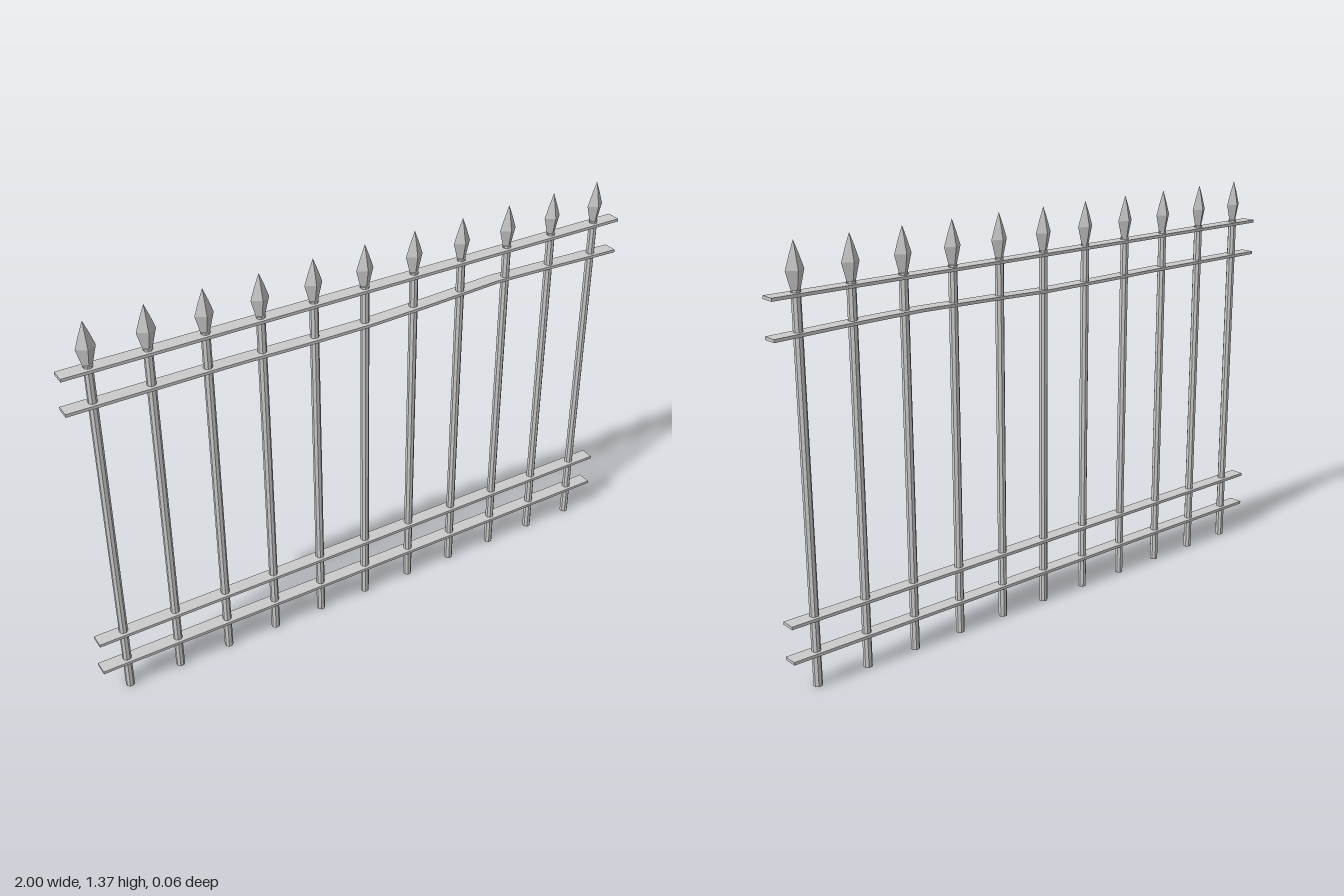
import * as THREE from 'three';

const metal = new THREE.MeshStandardMaterial({ color: 0xcccccc, flatShading: true });

// Piecewise-linear lookup in a short list of [x, value] pairs
function sample(pairs, x) {
  for (let i = 1; i < pairs.length; i++) {
    const [x0, v0] = pairs[i - 1], [x1, v1] = pairs[i];
    if (x <= x1) return v0 + (v1 - v0) * (x - x0) / (x1 - x0);
  }
  return pairs[pairs.length - 1][1];
}

export function createModel() {
  const fence = new THREE.Group();
  fence.name = 'fence';
  const add = (geometry, name, x, y) => {
    const mesh = new THREE.Mesh(geometry, metal);
    mesh.name = name;
    mesh.position.set(x, y, 0);
    fence.add(mesh);
  };

  // Upright bars, each topped by a four-sided, flattened spearhead
  const postHeight = 1.226;
  const post = new THREE.CylinderGeometry(0.0145, 0.0145, postHeight, 8);
  post.rotateY(Math.PI / 8);
  const profile = [[0, 1.215], [0.013, 1.215], [0.031, 1.282], [0.017, 1.323], [0, 1.366]];
  const spear = new THREE.LatheGeometry(profile.map(([r, y]) => new THREE.Vector2(r, y)), 4);
  spear.scale(1, 1, 0.64);
  for (let i = -5; i <= 5; i++) {
    const x = i * 0.1818;
    add(post, 'post', x, postHeight / 2);
    add(spear, 'spearhead', x, 0);
  }

  // Straight flat rails
  const rail = new THREE.BoxGeometry(2, 0.01, 0.048);
  add(rail, 'bottomRail', 0, 0.112);
  add(rail, 'lowerRail', 0, 0.228);
  add(rail, 'topRail', 0, 1.214);

  // Upper rail, slightly bent out of line
  const bent = new THREE.BoxGeometry(2, 0.01, 0.048, 24, 1, 1);
  const lift = [[-1, 0], [-0.45, 0], [-0.3, -0.003], [0, -0.004], [0.2, 0.002], [0.5, 0.011], [0.7, 0.008], [1, 0]];
  const shift = [[-1, 0], [-0.4, 0], [-0.2, 0.003], [0.15, 0.003], [0.3, 0], [0.5, -0.006], [0.8, -0.001], [1, 0]];
  const p = bent.attributes.position;
  for (let i = 0; i < p.count; i++) {
    const x = p.getX(i);
    p.setY(i, p.getY(i) + sample(lift, x));
    p.setZ(i, p.getZ(i) + sample(shift, x));
  }
  bent.computeVertexNormals();
  add(bent, 'bentUpperRail', 0, 1.098);

  return fence;
}
